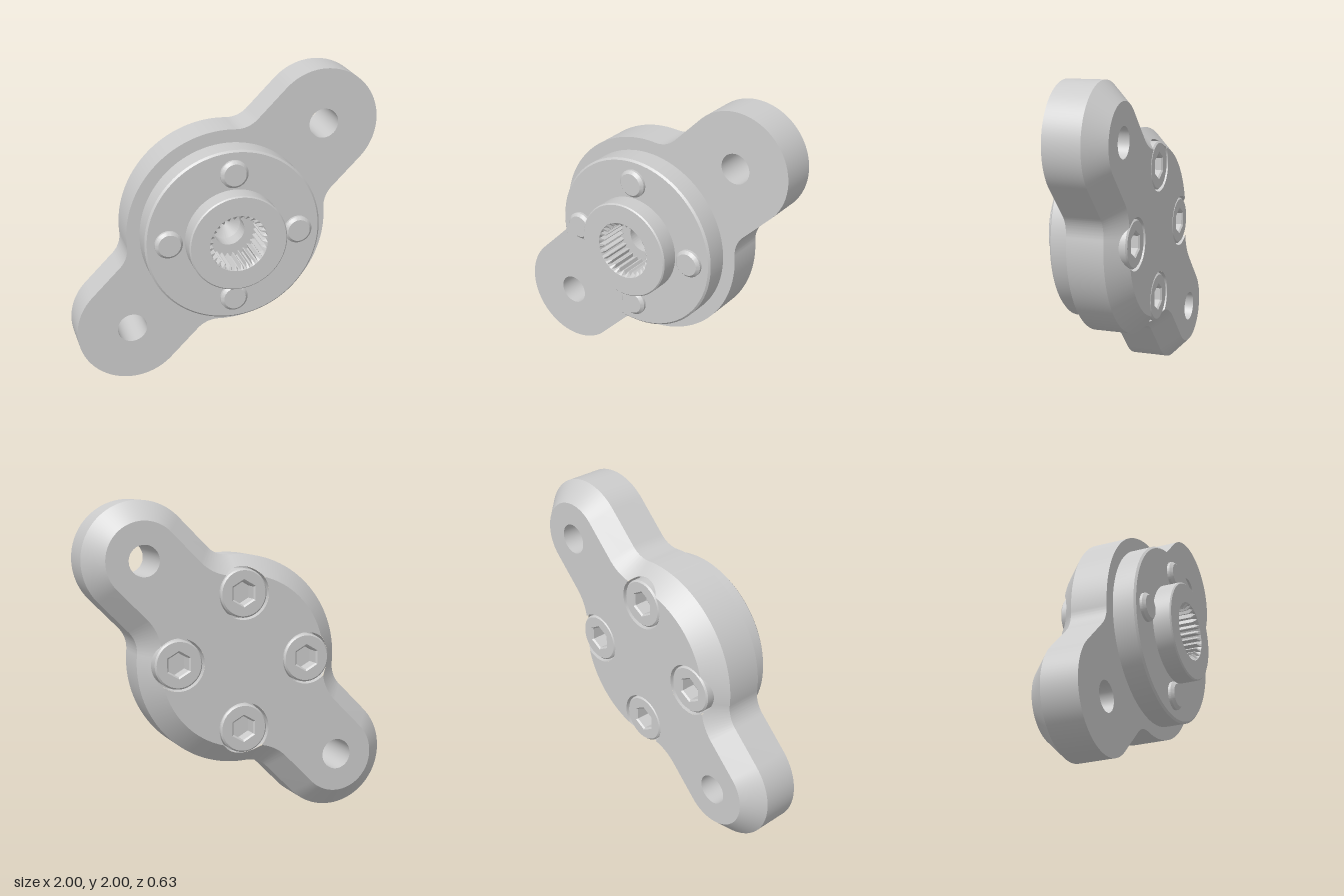
import * as THREE from 'three';
import { toCreasedNormals } from 'three/addons/utils/BufferGeometryUtils.js';

const PI = Math.PI, V2 = (x, y) => new THREE.Vector2(x, y);
const grey = new THREE.MeshStandardMaterial({ color: 0xcccccc });

const BACK = -0.315, CHAMFER = 0.12, FRONT = 0.045;
const DISC = 0.66, LOBE = 0.36, LOBE_DIST = 0.905, FILLET = 0.18;
const SCREW_DIST = 0.425, RECESS = 0.165, RECESS_FLOOR = -0.2;
const lobes = [1, -1].map(s => V2(0.64 * s, 0.64 * s));
const screws = [0, 1, 2, 3].map(k => V2(SCREW_DIST, 0).rotateAround(V2(0, 0), k * PI / 2));

function arc(cx, cy, r, a0, a1, n, last = true) {
  const pts = [];
  for (let i = 0; i < n + (last ? 1 : 0); i++) {
    const a = a0 + (a1 - a0) * i / n;
    pts.push(V2(cx + r * Math.cos(a), cy + r * Math.sin(a)));
  }
  return pts;
}
const circle = (c, r, n = 48) => arc(c.x, c.y, r, 0, 2 * PI, n, false);
const at = (pts, z) => pts.map(p => new THREE.Vector3(p.x, p.y, z));

// Skin through closed counter-clockwise loops: rising z faces out, falling z faces in
function skin(loops, crease = 0.5) {
  const n = loops[0].length, index = [];
  for (let k = 0; k + 1 < loops.length; k++) {
    for (let i = 0; i < n; i++) {
      const j = (i + 1) % n, a = k * n + i, b = k * n + j;
      index.push(a, b, b + n, a, b + n, a + n);
    }
  }
  const g = new THREE.BufferGeometry().setFromPoints(loops.flat());
  g.setIndex(index);
  return toCreasedNormals(g, crease);
}

// Flat face with holes
function face(pts, holes, z, backward = false) {
  const shape = new THREE.Shape(pts);
  shape.holes = holes.map(h => new THREE.Path(h));
  const g = new THREE.ShapeGeometry(shape);
  if (backward) {
    g.index.array.reverse();
    g.computeVertexNormals();
  }
  return g.translate(0, 0, z);
}

// Turned part about the z axis from [radius, z] points
function turned(profile) {
  const g = new THREE.LatheGeometry(profile.map(p => V2(...p)), 96).rotateX(PI / 2);
  return toCreasedNormals(g, 0.5);
}

// Flange outline: round centre, two lobes on the diagonal, filleted, inset by t
function outline(t) {
  const v = LOBE + FILLET, u = Math.sqrt((DISC + FILLET) ** 2 - v * v);
  const q = Math.atan2(v, u);
  const half = [
    ...arc(LOBE_DIST, 0, LOBE - t, -PI / 2, PI / 2, 48),
    ...arc(u, v, FILLET + t, 1.5 * PI, PI + q, 24, false),
    ...arc(0, 0, DISC - t, q, PI - q, 100, false),
    ...arc(-u, v, FILLET + t, 2 * PI - q, 1.5 * PI, 24),
  ];
  const o = V2(0, 0);
  return [0, PI].flatMap(turn => half.map(p => p.clone().rotateAround(o, turn + PI / 4)));
}

const screwAt = p => screws.find(s => s.distanceTo(p) < RECESS);

// Back face outline, notched where the screw recesses break through its edge
function notchedOutline(inner) {
  const pts = [];
  let entered = null, last = null;
  for (const p of inner) {
    const s = screwAt(p);
    if (s) {
      entered = entered || { s, from: last };
    } else {
      if (entered) {
        const c = entered.s;
        const a0 = entered.from.clone().sub(c).angle(), a1 = p.clone().sub(c).angle();
        const span = (a0 - a1 + 2 * PI) % (2 * PI);
        pts.push(...arc(c.x, c.y, RECESS, a0, a0 - span, 48));
        entered = null;
      }
      pts.push(p);
      last = p;
    }
  }
  return pts;
}

export function createModel() {
  const model = new THREE.Group();
  model.name = 'flangedHub';
  model.position.y = 1;
  const add = (name, geometry, parent = model) => {
    const m = new THREE.Mesh(geometry, grey);
    m.name = name;
    parent.add(m);
    return m;
  };

  // Flange plate with chamfered back edge
  const outer = outline(0), inner = outline(CHAMFER);
  const backEdge = inner.map((p, i) => {
    let t = 0;
    while (t < 1 && screwAt(p.clone().lerp(outer[i], t))) t += 0.01;
    const e = p.clone().lerp(outer[i], t);
    return new THREE.Vector3(e.x, e.y, BACK + CHAMFER * t);
  });
  const flange = new THREE.Group();
  flange.name = 'flange';
  model.add(flange);
  add('flangeRim', skin([backEdge, at(outer, BACK + CHAMFER), at(outer, FRONT)]), flange);
  const bolts = lobes.map(c => circle(c, 0.097));
  add('flangeFront', face(outer, [...bolts, circle(V2(0, 0), 0.3)], FRONT), flange);
  add('flangeBack', face(notchedOutline(inner), bolts, BACK, true), flange);
  bolts.forEach(b => add('mountingHole', skin([at(b, FRONT), at(b, BACK)]), flange));

  // Stepped hub on the front
  add('hub', turned([
    [0.575, FRONT], [0.575, 0.183], [0.563, 0.195], [0.318, 0.195],
    [0.318, 0.307], [0.31, 0.315], [0.188, 0.315],
  ]));

  // Splined bore: teeth start behind a chamfered mouth
  const TEETH = 28, toothed = [], mouth = [];
  for (let i = 0; i < TEETH * 4; i++) {
    const a = i / (TEETH * 4) * 2 * PI, r = i % 4 < 2 ? 0.185 : 0.16;
    // shift alternate corners so that tips are narrower than roots
    const b = a + (i % 4 === 2 ? 0.012 : i % 4 === 3 ? -0.012 : 0);
    toothed.push(V2(r * Math.cos(b), r * Math.sin(b)));
    mouth.push(V2(0.188 * Math.cos(b), 0.188 * Math.sin(b)));
  }
  add('splineTeeth', skin([at(mouth, 0.315), at(toothed, 0.288), at(toothed, 0.1)], 0.2));
  add('boreFloor', turned([[0.188, 0.1], [0.1, 0.1], [0.1, 0], [0, -0.06]]));

  // Four socket screws: heads recessed in the back, ends showing at the front
  const hex = arc(0, 0, 0.088, PI / 2, 2.5 * PI, 6, false);
  const headShape = new THREE.Shape(circle(V2(0, 0), 0.143));
  headShape.holes.push(new THREE.Path(hex));
  const headGeometry = toCreasedNormals(new THREE.ExtrudeGeometry(headShape, {
    depth: 0.09, bevelThickness: 0.01, bevelSize: 0.01, bevelSegments: 1,
  }), 0.5).translate(0, 0, BACK + 0.014);
  const endGeometry = turned([[0.09, 0.19], [0.09, 0.212], [0.072, 0.23], [0, 0.23]]);
  const floorGeometry = new THREE.CircleGeometry(RECESS, 48).rotateY(PI).translate(0, 0, RECESS_FLOOR);
  for (const s of screws) {
    const screw = new THREE.Group();
    screw.name = 'screw';
    screw.position.set(s.x, s.y, 0);
    model.add(screw);
    add('screwHead', headGeometry, screw);
    add('screwEnd', endGeometry, screw);
    add('recessFloor', floorGeometry, screw);
    // recess wall, lowered where it meets the chamfer
    const ring = circle(V2(0, 0), RECESS);
    const rim = ring.map(p => new THREE.Vector3(p.x, p.y,
      BACK + Math.max(0, p.clone().add(s).length() - (DISC - CHAMFER))));
    add('recessWall', skin([at(ring, RECESS_FLOOR), rim]), screw);
  }
  return model;
}
